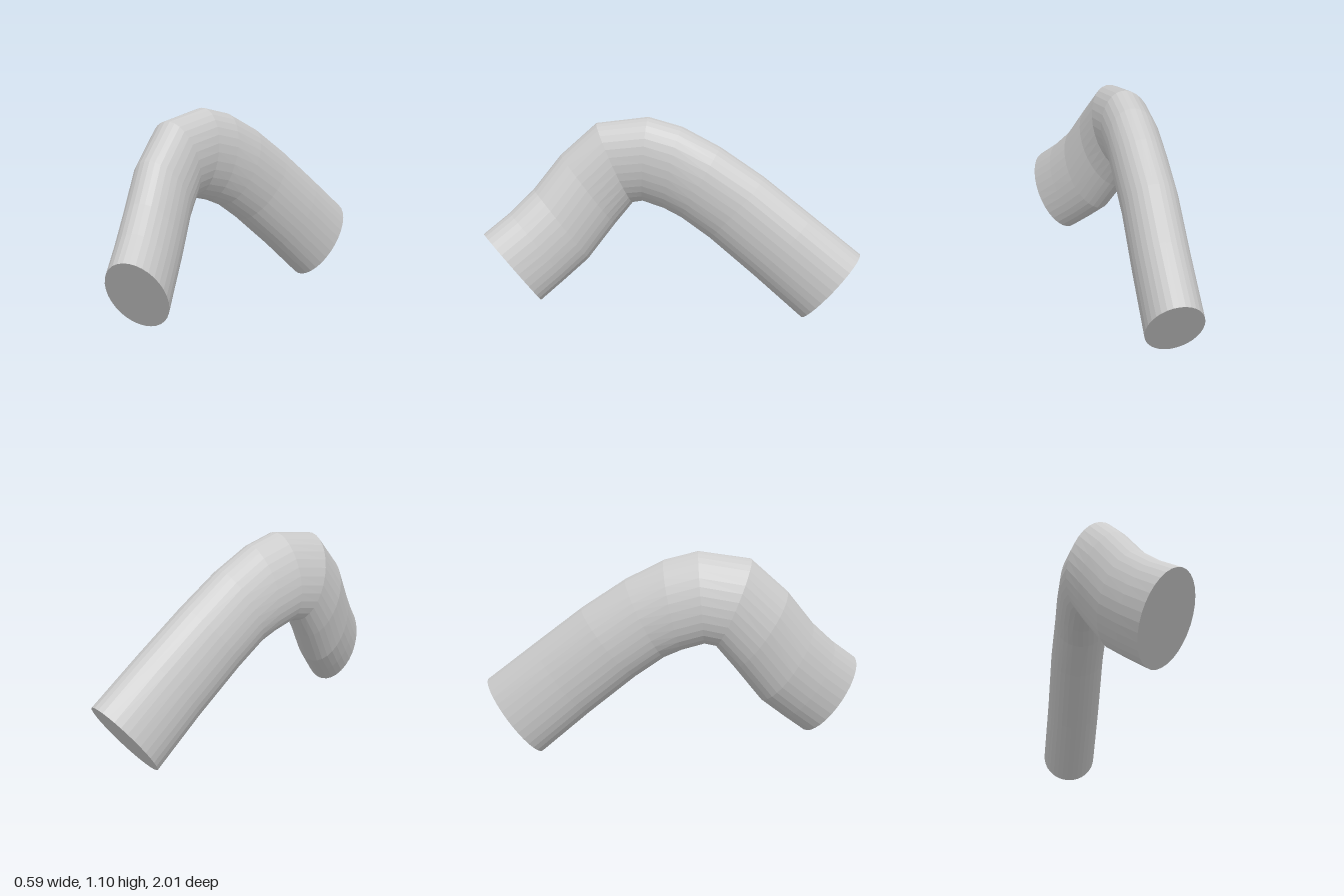
import * as THREE from 'three';

const SIDES = 32;
const HALF_WIDTH = 0.147;

// Cross-sections from front to back: crest [z, y], underside [z, y], centre x, sideways lean of the crest
const SECTIONS = [
  [1.0, 0.5, 0.72, 0.098, -0.021, 0.02],
  [0.86, 0.6, 0.59, 0.195, -0.066, 0.02],
  [0.73, 0.715, 0.455, 0.3, -0.108, 0.02],
  [0.58, 0.893, 0.3, 0.488, -0.145, 0.02],
  [0.387, 1.062, 0.195, 0.61, -0.153, 0.025],
  [0.115, 1.1, 0.135, 0.622, -0.125, 0.045],
  [-0.06, 1.053, 0.02, 0.587, -0.09, 0.05],
  [-0.26, 0.95, -0.07, 0.543, -0.05, 0.055],
  [-0.49, 0.795, -0.22, 0.435, -0.003, 0.06],
  [-0.74, 0.597, -0.465, 0.227, 0.07, 0.06],
  [-1.0, 0.39, -0.72, 0.0, 0.14, 0.06],
];

function createBentTube() {
  const centres = SECTIONS.map(([z1, y1, z2, y2, x]) =>
    new THREE.Vector3(x, (y1 + y2) / 2, (z1 + z2) / 2));
  const last = SECTIONS.length - 1;
  const positions = [];
  const index = [];

  // Elliptical rings, the long axis from underside to crest
  SECTIONS.forEach(([z1, y1, z2, y2, , lean], i) => {
    const tangent = centres[Math.min(i + 1, last)].clone().sub(centres[Math.max(i - 1, 0)]);
    const up = new THREE.Vector3(lean, (y1 - y2) / 2, (z1 - z2) / 2);
    const side = up.clone().cross(tangent).setLength(HALF_WIDTH);
    for (let j = 0; j < SIDES; j++) {
      const t = (j / SIDES) * Math.PI * 2;
      const p = centres[i].clone().addScaledVector(up, Math.cos(t)).addScaledVector(side, Math.sin(t));
      positions.push(p.x, p.y, p.z);
    }
  });

  // Walls between neighbouring rings
  for (let i = 0; i < last; i++) {
    for (let j = 0; j < SIDES; j++) {
      const a = i * SIDES + j;
      const b = i * SIDES + ((j + 1) % SIDES);
      index.push(a, a + SIDES, b, b, a + SIDES, b + SIDES);
    }
  }

  // Flat end caps
  for (let j = 1; j < SIDES - 1; j++) {
    const s = last * SIDES;
    index.push(0, j, j + 1, s, s + j + 1, s + j);
  }

  const indexed = new THREE.BufferGeometry();
  indexed.setAttribute('position', new THREE.Float32BufferAttribute(positions, 3));
  indexed.setIndex(index);
  const geometry = indexed.toNonIndexed();
  geometry.computeVertexNormals();
  return geometry;
}

export function createModel() {
  const group = new THREE.Group();
  group.name = 'bentTubeModel';
  const material = new THREE.MeshStandardMaterial({ color: 0xcccccc, flatShading: true });
  const tube = new THREE.Mesh(createBentTube(), material);
  tube.name = 'bentTube';
  group.add(tube);
  return group;
}
